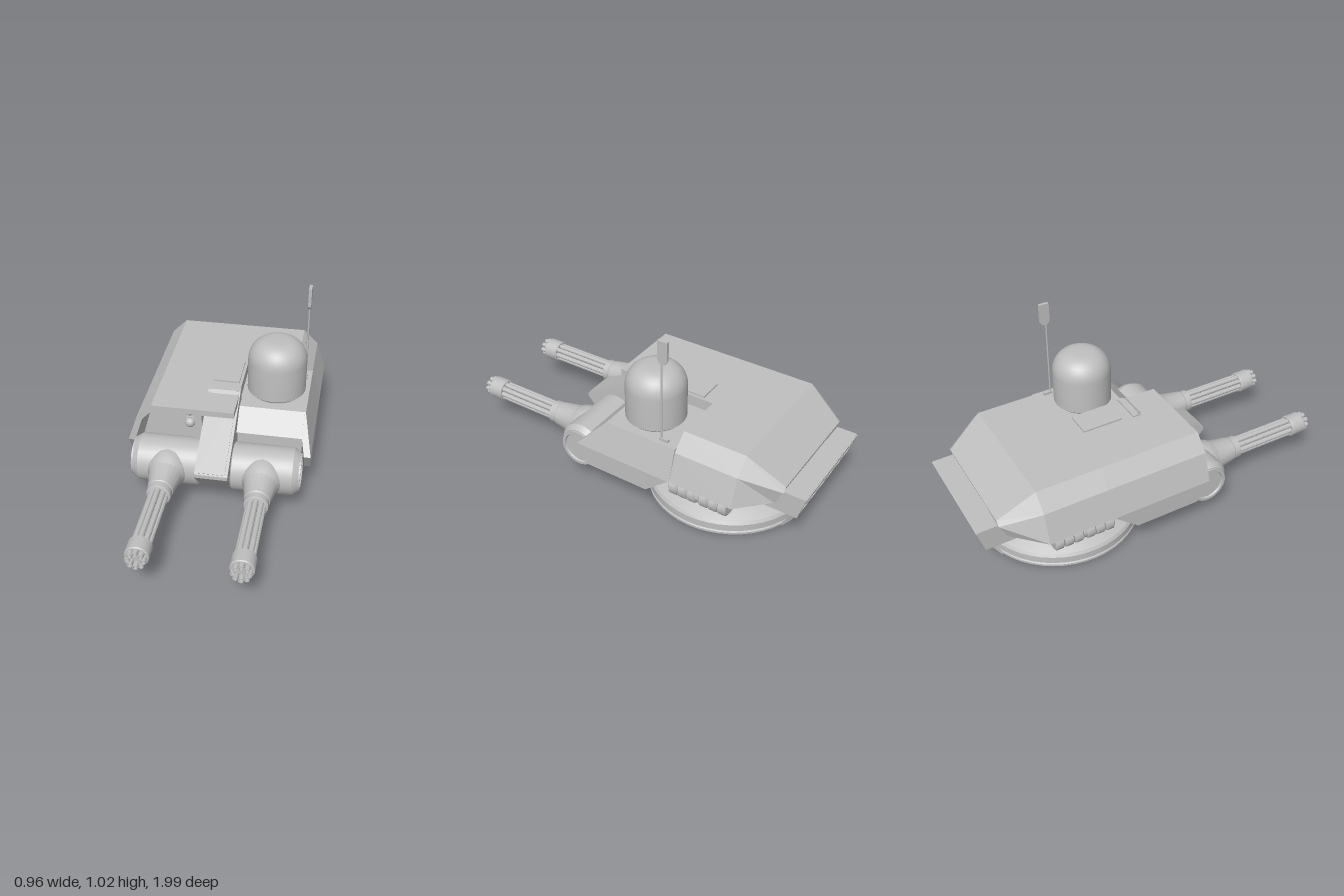
import * as THREE from 'three';
import { toCreasedNormals } from 'three/addons/utils/BufferGeometryUtils.js';

const V = (p) => p.map(([a, b]) => new THREE.Vector2(a, b));

// extrude a [z, y] outline across x0..x1
function extrudeX(outline, x0, x1) {
  const g = new THREE.ExtrudeGeometry(new THREE.Shape(V(outline)), { depth: x1 - x0, bevelEnabled: false });
  return g.rotateY(-Math.PI / 2).translate(x1, 0, 0);
}
// extrude an [x, y] outline along z0..z1
function extrudeZ(outline, z0, z1) {
  return new THREE.ExtrudeGeometry(new THREE.Shape(V(outline)), { depth: z1 - z0, bevelEnabled: false }).translate(0, 0, z0);
}
// turned part from [radius, height] points, with crisp edges
function turned(points, sides = 32) {
  return toCreasedNormals(new THREE.LatheGeometry(V(points), sides), 0.5);
}
// shift x by a rule depending on position
function lean(g, rule) {
  const p = g.attributes.position;
  for (let i = 0; i < p.count; i++) p.setX(i, rule(p.getX(i), p.getY(i)));
  g.computeVertexNormals();
  return g;
}
// skin through rings of [x, y, z] points, closing both ends
function loft(rings) {
  const pos = [], n = rings[0].length;
  const tri = (a, b, c) => pos.push(...a, ...b, ...c);
  for (let r = 0; r < rings.length - 1; r++) {
    for (let i = 0; i < n; i++) {
      const j = (i + 1) % n, A = rings[r], B = rings[r + 1];
      tri(A[i], A[j], B[j]);
      tri(A[i], B[j], B[i]);
    }
  }
  const first = rings[0], last = rings[rings.length - 1];
  for (let i = 1; i < n - 1; i++) {
    tri(first[0], first[i + 1], first[i]);
    tri(last[0], last[i], last[i + 1]);
  }
  const g = new THREE.BufferGeometry();
  g.setAttribute('position', new THREE.Float32BufferAttribute(pos, 3));
  g.computeVertexNormals();
  return g;
}

export function createModel() {
  const model = new THREE.Group();
  model.name = 'gunTurret';
  const grey = new THREE.MeshStandardMaterial({ color: 0xbfbfbf, side: THREE.DoubleSide });
  grey.name = 'paleGrey';
  const add = (name, g, x = 0, y = 0, z = 0, parent = model) => {
    const m = new THREE.Mesh(g, grey);
    m.name = name;
    m.position.set(x, y, z);
    parent.add(m);
    return m;
  };
  const box = (name, w, h, d, x, y, z) => add(name, new THREE.BoxGeometry(w, h, d), x, y, z);

  // turntable base, neck and rim lips
  const baseZ = -0.435;
  add('turntable', turned([[0, 0.008], [0.41, 0.008], [0.43, 0.015], [0.43, 0.026], [0.422, 0.03], [0.422, 0.034],
    [0.43, 0.038], [0.43, 0.075], [0.42, 0.09], [0.25, 0.175], [0, 0.175]], 48), 0, 0, baseZ);
  add('neck', turned([[0.165, 0.15], [0.165, 0.3]]), 0, 0, baseZ);
  for (const turn of [0, Math.PI]) {
    const lip = new THREE.CylinderGeometry(0.434, 0.434, 0.06, 16, 1, true, -0.41, 0.82);
    const p = lip.attributes.position;
    for (let i = 0; i < p.count; i++) {
      const t = THREE.MathUtils.clamp((0.17 - Math.abs(p.getX(i))) / 0.08, 0, 1);
      p.setY(i, p.getY(i) > 0 ? 0.034 + 0.036 * t : 0.012);
    }
    add('rimLip', lip, 0, 0, baseZ).rotation.y = turn;
  }
  // frame under the turntable
  const frame = new THREE.Shape(V([[-0.2, -0.13], [-0.13, -0.2], [0.13, -0.2], [0.2, -0.13], [0.2, 0.13], [0.13, 0.2], [-0.13, 0.2], [-0.2, 0.13]]));
  for (const s of [-1, 1]) {
    frame.holes.push(new THREE.Path(V([[-0.17, s * 0.02], [0.17, s * 0.02], [0.17, s * 0.11], [0.11, s * 0.17], [-0.11, s * 0.17], [-0.17, s * 0.11]])));
  }
  add('underFrame', new THREE.ExtrudeGeometry(frame, { depth: 0.012, bevelEnabled: false }).rotateX(Math.PI / 2), 0, 0.012, baseZ);

  // rear hull
  const ring = (half) => [...half, ...half.slice().reverse().map(([x, y, z]) => [-x, y, z])];
  const section = (z) => ring([[0.48, 0.29, z], [0.43, 0.44, z], [0.35, 0.52, z]]);
  add('rearHull', loft([
    section(-0.7), section(-0.36),
  ]));
  add('hullTail', loft([
    ring([[0.33, 0.29, -0.85], [0.325, 0.365, -0.89], [0.3, 0.385, -0.89]]), section(-0.7),
  ]));

  // front hull, right side: arched shell over a recess
  add('archShell', extrudeZ([[-0.48, 0.29], [-0.43, 0.44], [-0.35, 0.52], [0.08, 0.52], [0.08, 0.488],
    [-0.345, 0.488], [-0.4, 0.43], [-0.445, 0.29]], -0.36, 0.2));
  add('recessBody', lean(extrudeX([[-0.36, 0.29], [-0.22, 0.2], [0.1, 0.2], [0.1, 0.488], [-0.36, 0.488]], -0.44, 0.08),
    (x, y) => (x < 0 ? -0.44 + Math.max(0, y - 0.29) * 0.4 : x)));
  box('recessPost', 0.035, 0.2, 0.1, -0.103, 0.4, 0.15);

  // front hull, left side: low shelf with a sloped nose
  const slope = (y) => 0.48 - Math.max(0, y - 0.29) * 0.28;
  add('shelfBody', extrudeX([[-0.36, 0.29], [-0.22, 0.2], [0.1, 0.2], [0.1, 0.34], [0.14, 0.36], [0.04, 0.46], [-0.36, 0.46]], 0.07, 0.425));
  add('shelfSide', lean(extrudeX([[-0.36, 0.29], [0.2, 0.29], [0.04, 0.46], [-0.36, 0.46]], 0, 1),
    (x, y) => slope(y) - (x > 0.5 ? 0 : 0.035)));

  // lower skirts and corrugated canisters, both sides
  const ribs = [[0, 0]];
  for (let i = 0; i < 6; i++) {
    const a = i * 0.052 + (i > 2 ? 0.014 : 0);
    ribs.push([0.046, a], [0.055, a + 0.007], [0.055, a + 0.041], [0.046, a + 0.048]);
  }
  ribs.push([0, 0.322]);
  for (const s of [-1, 1]) {
    const [x0, x1] = s > 0 ? [0.445, 0.48] : [-0.48, -0.445];
    add('skirt', extrudeX([[0.2, 0.29], [0.13, 0.18], [-0.22, 0.18], [-0.35, 0.29]], x0, x1));
    add('canister', turned(ribs, 20).rotateX(Math.PI / 2), s * 0.41, 0.238, -0.662);
  }

  // tail block with vents and underside ribs
  add('tailBlock', extrudeX([[-0.62, 0.225], [-0.62, 0.3], [-0.86, 0.3], [-0.88, 0.35], [-0.992, 0.35], [-0.952, 0.225]], -0.3, 0.3));
  const tail = (name, w, h, x, y) => {
    const m = box(name, w, h, 0.012, x, y, -0.99 + (0.35 - y) * 0.31);
    m.rotation.x = -0.3;
  };
  for (let i = 0; i < 7; i++) tail('ventDivider', 0.022, 0.128, -0.289 + i * 0.0963, 0.286);
  tail('ventRail', 0.6, 0.02, 0, 0.338);
  tail('ventRail', 0.6, 0.02, 0, 0.234);
  for (let i = 0; i < 10; i++) box('undersideRib', 0.035, 0.01, 0.32, -0.27 + i * 0.06, 0.222, -0.78);

  // central spine
  add('spine', extrudeX([[-0.02, 0.528], [0.01, 0.528], [0.425, 0.285], [0.425, 0.265], [0.26, 0.085], [0.22, 0.08], [0.08, 0.19], [-0.02, 0.2]], -0.085, 0.085));
  add('spinePanel', extrudeX([[0.0, 0.52], [0.012, 0.532], [0.42, 0.293], [0.41, 0.28]], -0.07, 0.07));

  // roof hatch
  box('hatch', 0.135, 0.012, 0.22, -0.003, 0.523, -0.19);

  // twin guns
  const spin = (g) => g.rotateX(Math.PI / 2);
  for (const s of [-1, 1]) {
    const gun = new THREE.Group();
    gun.name = s > 0 ? 'leftGun' : 'rightGun';
    gun.position.set(s * 0.245, 0.215, 0);
    model.add(gun);
    add('gunDrum', turned([[0, -0.165], [0.115, -0.165], [0.125, -0.155], [0.125, 0.155], [0.105, 0.185], [0, 0.185]])
      .rotateZ(-s * Math.PI / 2), -s * 0.0, 0, 0.23, gun);
    add('drumCap', turned([[0.08, 0], [0.1, 0], [0.1, 0.012], [0.085, 0.012], [0.08, 0]])
      .rotateZ(-s * Math.PI / 2), s * 0.182, 0, 0.23, gun);
    add('gunMount', spin(turned([[0.09, 0.22], [0.108, 0.29], [0.108, 0.31], [0.098, 0.355], [0.085, 0.375], [0.066, 0.49],
      [0.062, 0.495], [0.062, 0.53], [0.052, 0.535], [0, 0.535]], 20)), 0, 0, 0, gun);
    for (let i = 0; i < 8; i++) {
      const a = (i / 8) * Math.PI * 2;
      add('barrel', spin(turned([[0, 0.52], [0.0135, 0.52], [0.0135, 1], [0.009, 1], [0.009, 0.975], [0, 0.975]], 10)),
        Math.cos(a) * 0.038, Math.sin(a) * 0.038, 0, gun);
    }
    add('axle', spin(turned([[0, 0.52], [0.014, 0.52], [0.014, 0.98], [0, 0.98]], 10)), 0, 0, 0, gun);
    add('muzzleCollar', spin(turned([[0, 0.885], [0.055, 0.885], [0.06, 0.89], [0.06, 0.965], [0.055, 0.97], [0, 0.97]], 24)), 0, 0, 0, gun);
  }

  // pair of lamps in the recess
  for (const y of [0.455, 0.38]) {
    add('lampRing', spin(turned([[0.034, 0], [0.034, 0.02], [0.028, 0.02]], 24)), -0.165, y, 0.1);
    add('lamp', new THREE.SphereGeometry(0.028, 20, 12), -0.165, y, 0.115);
  }

  // sensor dome
  const dome = [[0.13, 0.45], [0.13, 0.475], [0.145, 0.475], [0.155, 0.485], [0.155, 0.66]];
  for (let i = 1; i <= 8; i++) {
    const a = (i / 8) * Math.PI / 2;
    dome.push([0.05 + 0.105 * Math.cos(a), 0.66 + 0.113 * Math.sin(a)]);
  }
  dome.push([0, 0.775]);
  add('sensorDome', turned(dome, 40), 0.257, 0, -0.14);

  // antenna
  add('antennaFoot', new THREE.BoxGeometry(0.018, 0.02, 0.05), 0.4, 0.465, -0.28);
  add('antennaMast', new THREE.CylinderGeometry(0.005, 0.005, 0.46, 8), 0.4, 0.68, -0.264);
  add('antennaPaddle', extrudeX([[-0.258, 0.9], [-0.285, 0.9], [-0.298, 0.92], [-0.298, 1.022], [-0.245, 1.022], [-0.245, 0.92]], 0.392, 0.408));
  return model;
}
